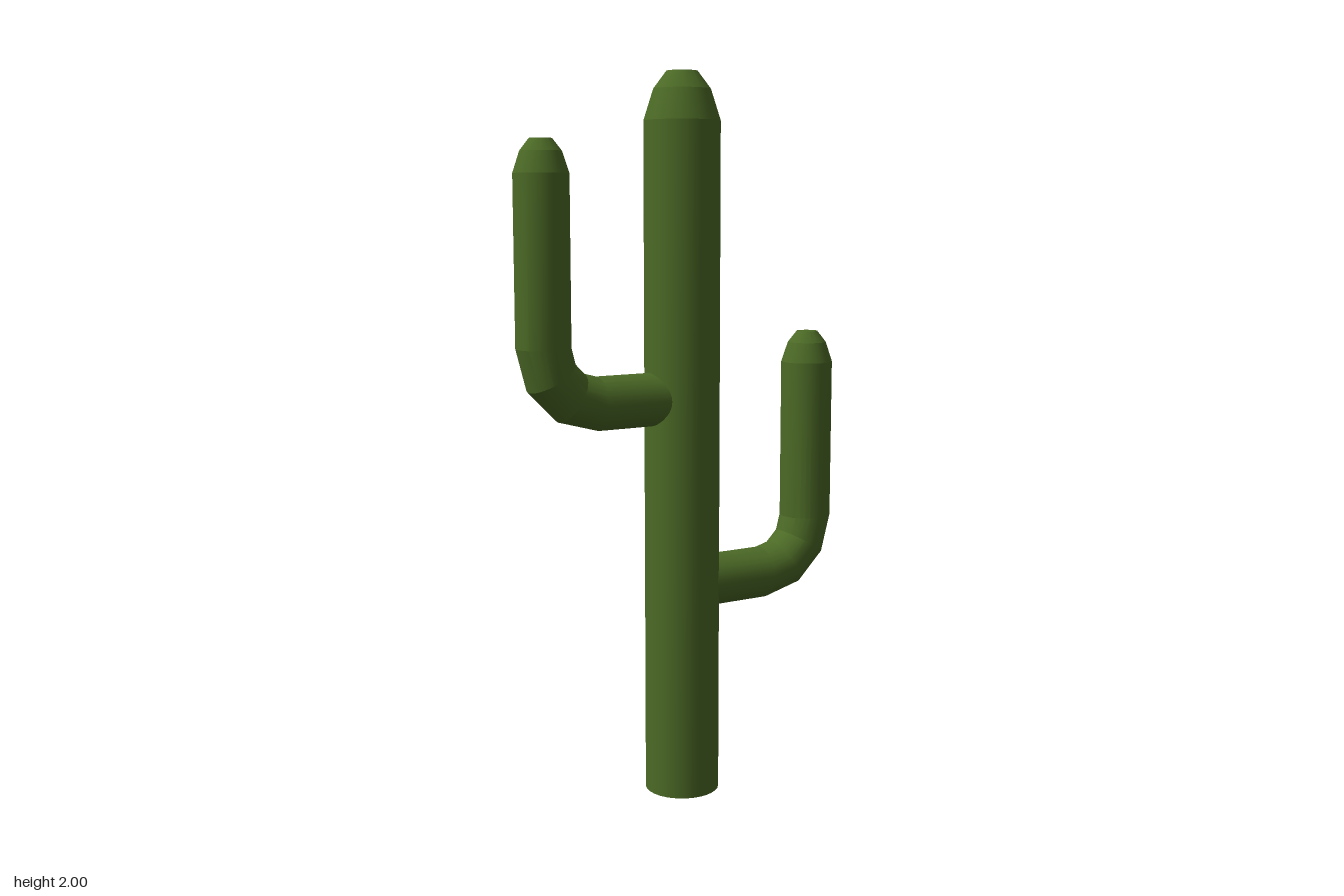
import * as THREE from 'three';
import { toCreasedNormals } from 'three/addons/utils/BufferGeometryUtils.js';

const SIDES = 32;

// Lofts round cross-sections { x, y, angle, r }; angle is the heading in the xy plane.
// A section with r = 0 closes the end.
function loft(sections) {
  const positions = [];
  const index = [];
  for (const { x, y, angle, r } of sections) {
    for (let j = 0; j < SIDES; j++) {
      const t = (j / SIDES) * Math.PI * 2;
      const n = r * Math.cos(t);
      positions.push(x - n * Math.sin(angle), y + n * Math.cos(angle), r * Math.sin(t));
    }
  }
  for (let i = 0; i < sections.length - 1; i++) {
    for (let j = 0; j < SIDES; j++) {
      const k = (j + 1) % SIDES;
      const a = i * SIDES + j, b = i * SIDES + k;
      const c = b + SIDES, d = a + SIDES;
      if (sections[i].r > 0) index.push(a, b, c);
      if (sections[i + 1].r > 0) index.push(a, c, d);
    }
  }
  const geometry = new THREE.BufferGeometry();
  geometry.setAttribute('position', new THREE.Float32BufferAttribute(positions, 3));
  geometry.setIndex(index);
  // Smooth around the stem, crisp across the cap and bend rings
  return toCreasedNormals(geometry, 0.23);
}

// Bevelled tip: shoulder, middle ring, flat top
function tip(x, shoulderY, topY, r) {
  const h = topY - shoulderY;
  return [[0, 1], [0.64, 0.745], [1, 0.405], [1, 0]].map(([v, s]) => (
    { x, y: shoulderY + h * v, angle: Math.PI / 2, r: r * s }
  ));
}

function trunkSections() {
  const up = Math.PI / 2;
  return [
    { x: 0, y: 0, angle: up, r: 0 },
    { x: 0, y: 0, angle: up, r: 0.104 },
    ...tip(0, 1.87, 2, 0.104),
  ];
}

// Arm leaving the trunk sideways, turning up in three steps
function armSections(side, y, shoulderY, topY) {
  const r = 0.073, bend = 0.155, bendX = 0.265;
  const sections = [
    { x: 0.03, y, angle: 0, r: 0 },
    { x: 0.03, y, angle: 0, r },
  ];
  for (let i = 0; i <= 3; i++) {
    const angle = (i / 3) * Math.PI / 2;
    sections.push({
      x: bendX + bend * Math.sin(angle),
      y: y + bend * (1 - Math.cos(angle)),
      angle, r,
    });
  }
  sections.push(...tip(bendX + bend, shoulderY, topY, r));
  if (side > 0) return sections;
  return sections.map((s) => ({ ...s, x: -s.x, angle: Math.PI - s.angle }));
}

export function createModel() {
  const green = new THREE.MeshStandardMaterial({ color: 0x4c6a26 });
  green.name = 'cactusGreen';

  const group = new THREE.Group();
  group.name = 'cactus';
  const parts = {
    trunk: trunkSections(),
    leftArm: armSections(1, 0.595, 1.2, 1.288),
    rightArm: armSections(-1, 1.123, 1.728, 1.816),
  };
  for (const [name, sections] of Object.entries(parts)) {
    const mesh = new THREE.Mesh(loft(sections), green);
    mesh.name = name;
    group.add(mesh);
  }
  return group;
}
